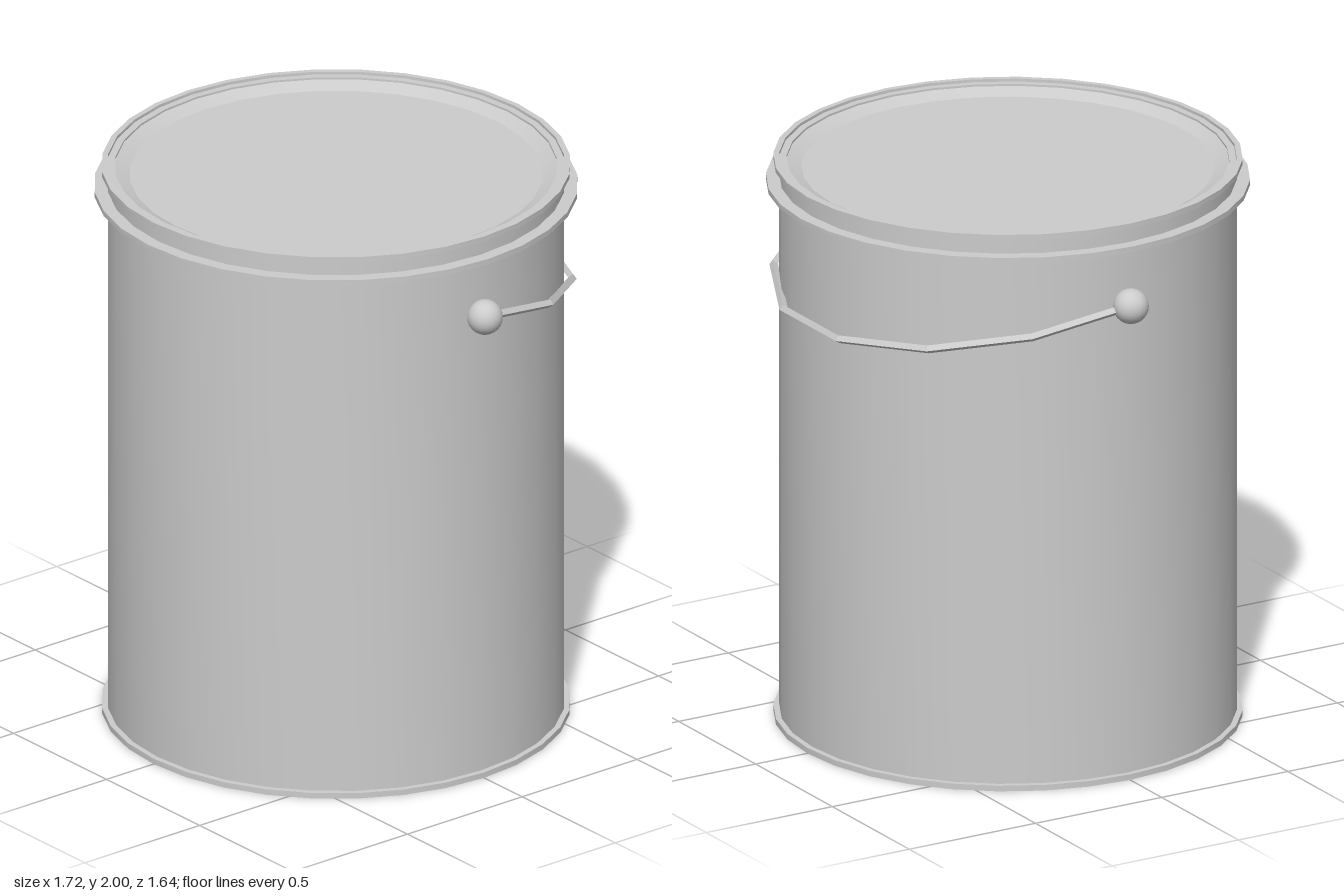
import * as THREE from 'three';
import { toCreasedNormals } from 'three/addons/utils/BufferGeometryUtils.js';

const SIDES = 32;
const material = new THREE.MeshStandardMaterial({ color: 0xcccccc });
const flatMaterial = new THREE.MeshStandardMaterial({ color: 0xcccccc, flatShading: true });

// Round part from [radius, height] pairs, smooth around and sharp at its rims
function turned(name, profile) {
  const points = profile.map(([r, y]) => new THREE.Vector2(r, y));
  const geometry = toCreasedNormals(new THREE.LatheGeometry(points, SIDES), 0.35);
  const mesh = new THREE.Mesh(geometry, material);
  mesh.name = name;
  return mesh;
}

// Half circle round the back of the can, hanging down from the two knobs
class BailCurve extends THREE.Curve {
  getPoint(t, target = new THREE.Vector3()) {
    const angle = t * Math.PI;
    const radius = 0.8, slope = 0.21;
    const z = -radius * Math.sin(angle);
    return target.set(-radius * Math.cos(angle), 1.705 + slope * z, z);
  }
}

export function createModel() {
  const can = new THREE.Group();
  can.name = 'paintCan';

  // Wall with the flat bottom and its narrow foot rim
  can.add(turned('body', [
    [0, 0], [0.795, 0], [0.795, 0.02], [0.775, 0.02], [0.775, 1.98],
  ]));

  // Thin bead round the wall below the lid
  can.add(turned('bead', [
    [0.775, 1.907], [0.82, 1.907], [0.82, 1.926], [0.775, 1.926],
  ]));

  // Top rim, stepping in and sloping down to the sunken lid
  can.add(turned('rimAndLid', [
    [0.775, 1.982], [0.795, 1.982], [0.795, 2], [0.775, 2],
    [0.775, 1.99], [0.75, 1.99], [0.75, 1.983], [0.7, 1.962], [0, 1.962],
  ]));

  // Round knobs that hold the ends of the handle
  for (const side of [-1, 1]) {
    const knob = new THREE.Mesh(new THREE.SphereGeometry(0.061, 20, 14), material);
    knob.name = side > 0 ? 'leftKnob' : 'rightKnob';
    knob.position.set(side * 0.8, 1.705, 0);
    can.add(knob);
  }

  // Wire handle in seven straight pieces
  const handle = new THREE.Mesh(new THREE.TubeGeometry(new BailCurve(), 7, 0.015, 4), flatMaterial);
  handle.name = 'handle';
  can.add(handle);

  return can;
}
